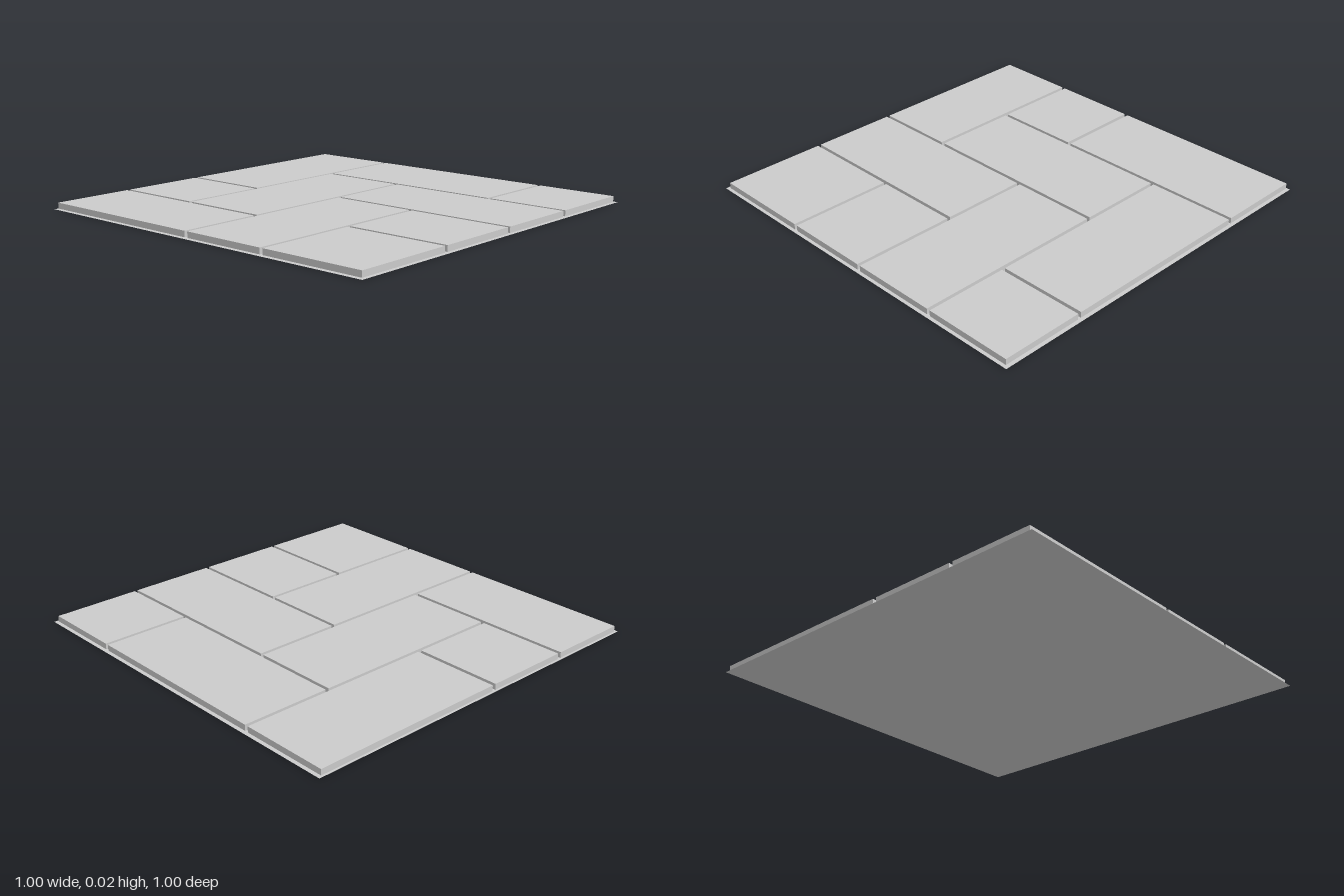
import * as THREE from 'three';

const TOP = 0.016;
const BOTTOM = 0.001;

// Paving slabs as [x0, x1, z0, z1], divided by narrow joints
const SLABS = [
  [0.005, 0.236, -0.491, 0.030],
  [0.005, 0.236, 0.040, 0.266],
  [0.005, 0.473, 0.276, 0.491],
  [0.245, 0.767, -0.491, -0.260],
  [0.245, 0.473, -0.251, 0.266],
  [0.776, 0.992, -0.491, -0.260],
  [0.482, 0.992, -0.251, -0.024],
  [0.482, 0.709, -0.015, 0.491],
  [0.718, 0.992, -0.015, 0.212],
  [0.718, 0.992, 0.221, 0.491],
];

export function createModel() {
  const group = new THREE.Group();
  group.name = 'pavedFloorTile';
  const stone = new THREE.MeshStandardMaterial({ color: 0xcccccc, flatShading: true });
  const sheet = new THREE.MeshStandardMaterial({ color: 0xcccccc, side: THREE.DoubleSide });

  // Thin square bed under the slabs, seen in the joints and from below
  const bed = new THREE.Mesh(new THREE.PlaneGeometry(1, 1).rotateX(-Math.PI / 2), sheet);
  bed.name = 'mortarBed';
  bed.position.x = 0.5;
  group.add(bed);

  // Interlocking rectangular slabs
  const slabs = new THREE.Group();
  slabs.name = 'slabs';
  SLABS.forEach(([x0, x1, z0, z1], i) => {
    const slab = new THREE.Mesh(new THREE.BoxGeometry(x1 - x0, TOP - BOTTOM, z1 - z0), stone);
    slab.name = `slab${i + 1}`;
    slab.position.set((x0 + x1) / 2, (TOP + BOTTOM) / 2, (z0 + z1) / 2);
    slabs.add(slab);
  });
  group.add(slabs);
  return group;
}
